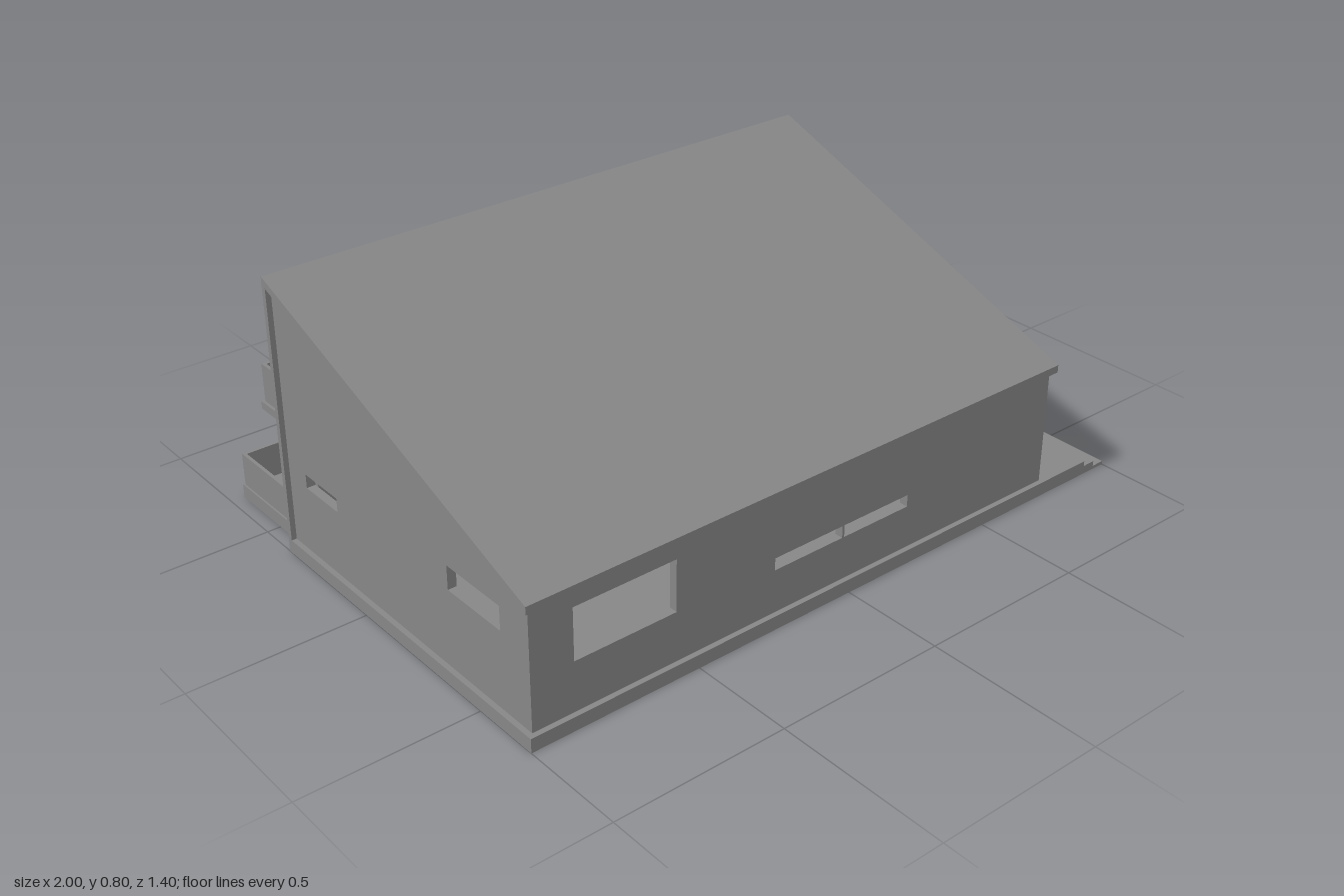
import * as THREE from 'three';

const mat = new THREE.MeshStandardMaterial({ color: 0x868686 });

// Main extents
const X0 = -1, X1 = 0.757, ZB = -0.38, ZF = 0.7;
const SLOPE = 0.4 / (ZF - ZB), ROOF_T = 0.022;
const roofTop = z => 0.4 + (ZF - z) * SLOPE;
const roofUnder = z => roofTop(z) - ROOF_T;

export function createModel() {
  const group = new THREE.Group();

  const add = (name, geo) => {
    const mesh = new THREE.Mesh(geo, mat);
    mesh.name = name;
    group.add(mesh);
  };

  // Box given by its min and max on each axis
  const box = (name, x0, x1, y0, y1, z0, z1) => {
    const geo = new THREE.BoxGeometry(x1 - x0, y1 - y0, z1 - z0);
    geo.translate((x0 + x1) / 2, (y0 + y1) / 2, (z0 + z1) / 2);
    add(name, geo);
  };

  // Flat panel with rectangular openings [a0, a1, y0, y1]
  const panel = (points, openings, depth) => {
    const shape = new THREE.Shape(points.map(p => new THREE.Vector2(...p)));
    for (const [a0, a1, y0, y1] of openings) {
      const corners = [[a0, y0], [a0, y1], [a1, y1], [a1, y0]];
      shape.holes.push(new THREE.Path(corners.map(p => new THREE.Vector2(...p))));
    }
    return new THREE.ExtrudeGeometry(shape, { depth, bevelEnabled: false });
  };

  // Wall facing z, from y = 0.04 up to top
  const wallZ = (name, x0, x1, top, openings, z0, z1) => {
    const outline = [[x0, 0.04], [x1, 0.04], [x1, top], [x0, top]];
    add(name, panel(outline, openings, z1 - z0).translate(0, 0, z0));
  };

  // Panel facing x, drawn in (z, y)
  const wallX = (name, points, openings, x0, x1) => {
    const flipped = points.map(([z, y]) => [-z, y]);
    const holes = openings.map(([z0, z1, y0, y1]) => [-z1, -z0, y0, y1]);
    add(name, panel(flipped, holes, x1 - x0).rotateY(Math.PI / 2).translate(x0, 0, 0));
  };

  // Ground slab and inner floors
  box('groundSlab', X0, X1, 0, 0.04, ZB, ZF);
  box('groundFloor', -0.96, 0.717, 0.04, 0.055, -0.29, 0.66);
  box('upperFloor', -0.96, 0.717, 0.335, 0.345, -0.265, 0.66);

  // Single-pitch roof
  wallX('roof', [
    [ZF, roofUnder(ZF)], [ZB, roofUnder(ZB)], [ZB, roofTop(ZB)], [ZF, roofTop(ZF)],
  ], [], X0, X1);

  // Front wall with a corner window and a pair of slits
  const zi = 0.66, zr = -0.365;
  wallZ('frontWall', -0.985, 0.742, roofUnder(zi), [
    [-0.862, -0.56, 0.182, 0.33],
    [-0.247, -0.019, 0.165, 0.2],
    [-0.012, 0.213, 0.165, 0.2],
  ], zi, 0.685);

  // Side walls; the right one is notched for the entrance
  wallX('rightWall', [
    [zi, 0.04], [0.62, 0.04], [0.62, 0.275], [0.5, 0.275], [0.5, 0.04],
    [zr, 0.04], [zr, roofUnder(zr)], [zi, roofUnder(zi)],
  ], [], 0.717, 0.742);
  wallX('leftWall', [
    [zi, 0.04], [zr, 0.04], [zr, roofUnder(zr)], [zi, roofUnder(zi)],
  ], [
    [0.365, 0.575, 0.262, 0.33],
    [-0.28, -0.13, 0.235, 0.275],
  ], -0.985, -0.96);

  // Trim on the rear ends of the side walls
  for (const [x0, x1] of [[X0, -0.96], [0.717, X1]]) {
    box('rearTrim', x0, x1, 0.04, roofUnder(ZB), ZB, zr);
  }

  // Recessed back wall with doors and windows on both floors
  wallZ('backWall', -0.96, 0.717, roofUnder(-0.29), [
    [-0.18, 0.22, 0.08, 0.27],
    [-0.36, -0.232, 0.055, 0.27],
    [-0.165, 0.26, 0.6, 0.645],
    [-0.587, -0.172, 0.6, 0.645],
    [-0.768, -0.597, 0.36, 0.585],
  ], -0.29, -0.265);

  // Terrace and balcony: a slab with a parapet on three sides
  const deck = (name, x0, x1, y0, y1, top, zBack, zFront, inset) => {
    box(name + 'Slab', x0, x1, y0, y1, zBack, zFront);
    const a = x0 + inset, b = x1 - inset, z = zBack + inset, t = 0.01;
    box(name + 'RearParapet', a, b, y1, top, z, z + t);
    box(name + 'SideParapet', a, a + t, y1, top, z + t, -0.29);
    box(name + 'SideParapet', b - t, b, y1, top, z + t, -0.29);
  };
  deck('terrace', -0.96, 0.717, 0, 0.04, 0.138, -0.7, ZB, 0.005);
  deck('balcony', -0.937, 0.692, 0.322, 0.345, 0.457, -0.58, -0.29, 0.008);

  // Entrance steps
  for (const [x, y, z] of [[0.918, 0.04, 0.395], [0.959, 0.025, 0.355], [1, 0.01, 0.315]]) {
    box('entranceStep', X1, x, 0, y, z, ZF);
  }

  return group;
}
